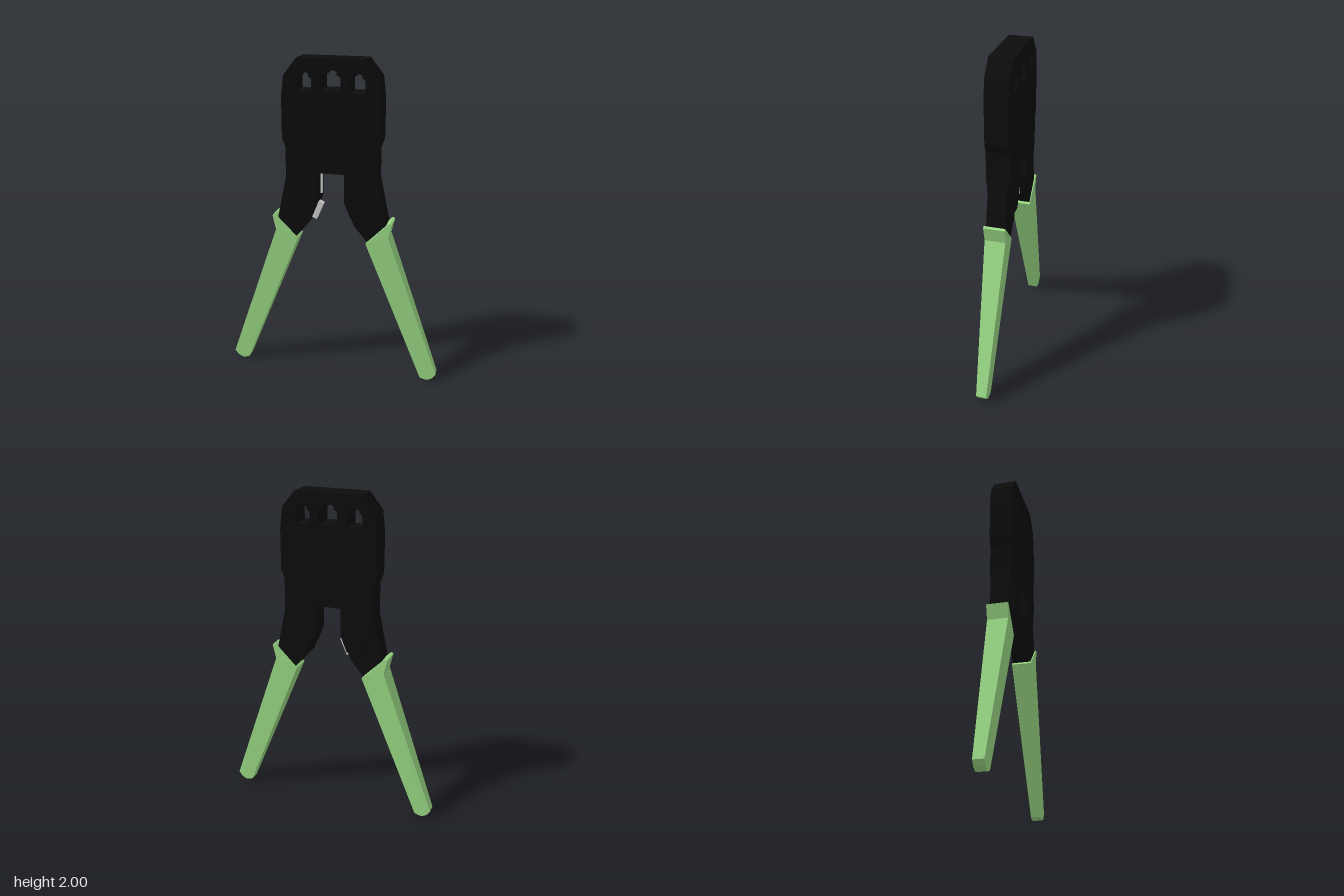
import * as THREE from 'three';

const black = new THREE.MeshStandardMaterial({ color: 0x0c0c0c, flatShading: true });
const green = new THREE.MeshStandardMaterial({ color: 0x9ad985, flatShading: true });
const grey = new THREE.MeshStandardMaterial({ color: 0xcccccc, flatShading: true });

const toPoints = (pts) => pts.map(([x, y]) => new THREE.Vector2(x, y));
const mirror = (pts) => pts.map(([x, y]) => [-x, y]).reverse();

// Flat plate from an outline, spanning z0 to z1
function plate(name, pts, z0, z1, material, holes = []) {
  const shape = new THREE.Shape(toPoints(pts));
  holes.forEach((h) => shape.holes.push(new THREE.Path(toPoints(h))));
  const geometry = new THREE.ExtrudeGeometry(shape, { depth: z1 - z0, bevelEnabled: false });
  geometry.translate(0, 0, z0);
  const mesh = new THREE.Mesh(geometry, material);
  mesh.name = name;
  return mesh;
}

// Connector opening with a stepped latch notch at the top
function opening(cx, y0, shoulder, top, half) {
  const n = half * 0.62;
  return [
    [cx - half, y0], [cx + half, y0], [cx + half, shoulder - 0.015], [cx + half - 0.012, shoulder],
    [cx + n, shoulder], [cx + n, top - 0.01], [cx + n - 0.012, top], [cx - n + 0.012, top],
    [cx - n, top - 0.01], [cx - n, shoulder], [cx - half + 0.012, shoulder], [cx - half, shoulder - 0.015],
  ];
}

export function createModel() {
  const group = new THREE.Group();
  group.name = 'crimpingTool';

  const holes = [
    opening(-0.16, 1.81, 1.895, 1.92, 0.045),
    opening(0, 1.82, 1.907, 1.935, 0.056),
    opening(0.155, 1.81, 1.895, 1.92, 0.045),
  ];
  const headSide = [[0.275, 1.30], [0.275, 1.48], [0.295, 1.53], [0.295, 1.77], [0.28, 1.9], [0.2, 2]];

  // Head core, set back slightly between the legs
  const coreSide = [[0.08, 1.355], [0.08, 1.31], ...headSide];
  group.add(plate('headCore', [...coreSide, ...mirror(coreSide)], -0.057, 0.057, black, holes));

  // Face plates running down over the legs
  const coverSide = [[0.08, 1.33], [0.08, 1.16], [0.12, 1.06], [0.235, 1.06], [0.262, 1.27], ...headSide];
  const cover = [...coverSide, ...mirror(coverSide)];
  group.add(plate('frontPlate', cover, 0.057, 0.071, black, holes));
  group.add(plate('backPlate', cover, -0.071, -0.057, black, holes));

  // Outer walls filling the head to full thickness
  const leg = [[0.08, 1.32], [0.08, 1.16], [0.14, 1.01], [0.22, 0.915], [0.335, 1.03], [0.287, 1.26], [0.275, 1.32]];
  const grip = [
    [0.212, 0.902], [0.57, 0.012], [0.595, 0.002], [0.62, 0], [0.648, 0.015], [0.67, 0.045],
    [0.35, 0.95], [0.37, 1.04], [0.355, 1.047],
  ];

  for (const side of [1, -1]) {
    const label = side > 0 ? 'left' : 'right';
    const flip = (pts) => (side > 0 ? pts : mirror(pts));
    group.add(plate(label + 'Leg', flip(leg), -0.057, 0.057, black));

    // Grip thins toward its lower end
    const handle = plate(label + 'Grip', flip(grip), -1, 1, green);
    const p = handle.geometry.attributes.position;
    for (let i = 0; i < p.count; i++) {
      const t = THREE.MathUtils.clamp((p.getY(i) - 0.04) / 0.95, 0, 1);
      p.setZ(i, p.getZ(i) * (0.031 + 0.033 * t));
    }
    handle.geometry.computeVertexNormals();
    group.add(handle);
  }

  // Release catch and spring strip on the inside of the right leg
  const catchTab = new THREE.Mesh(new THREE.BoxGeometry(0.036, 0.11, 0.04), grey);
  catchTab.name = 'releaseCatch';
  catchTab.position.set(-0.097, 1.08, 0);
  catchTab.rotation.z = -0.4;
  const strip = new THREE.Mesh(new THREE.BoxGeometry(0.02, 0.13, 0.012), grey);
  strip.name = 'springStrip';
  strip.position.set(-0.078, 1.253, 0);
  group.add(catchTab, strip);

  return group;
}
